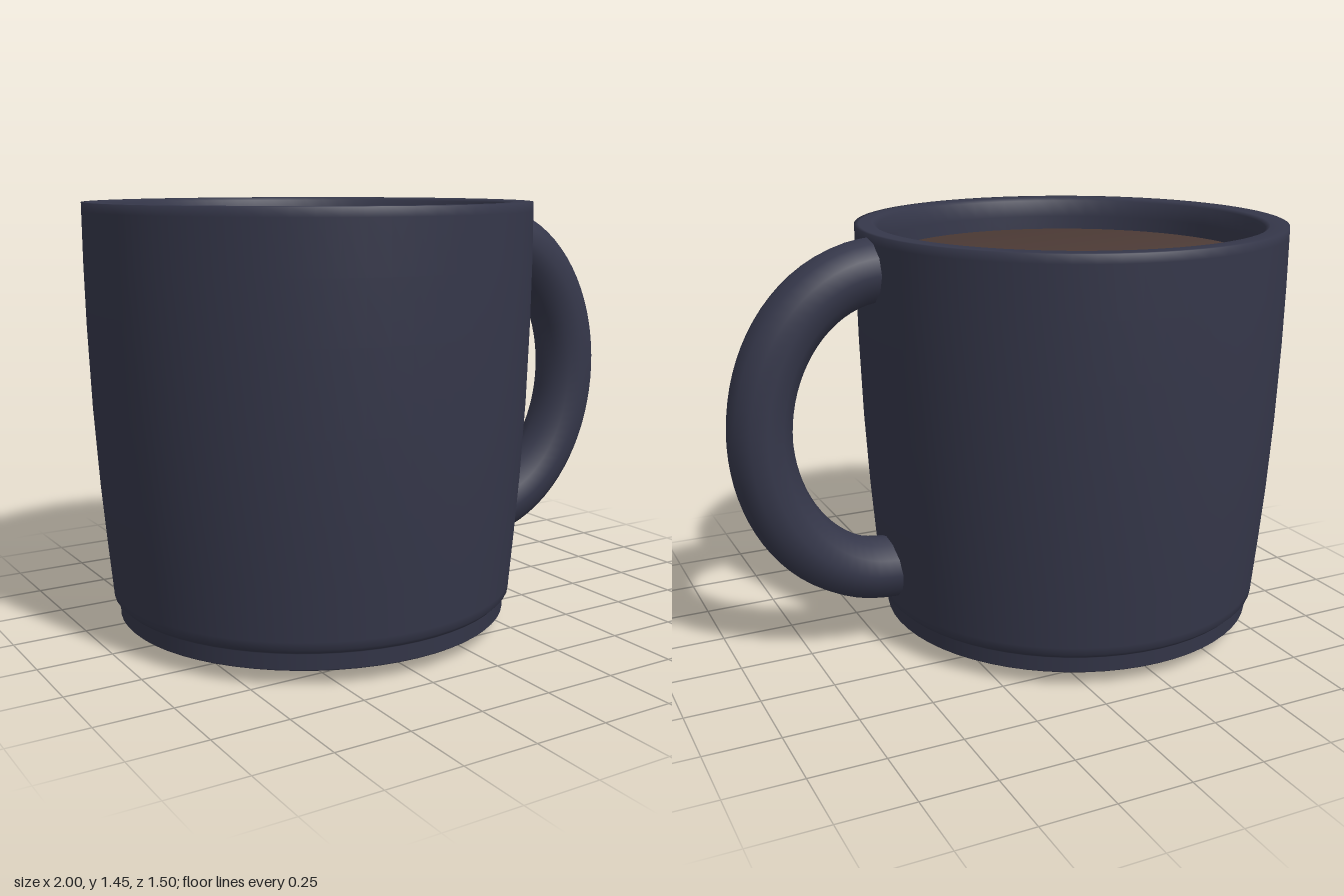
import * as THREE from 'three';

const CUP_X = -0.25;

// Smooth solid of revolution from [radius, height] pairs
function turned(name, profile, material) {
  const points = profile.map(([r, y]) => new THREE.Vector2(r, y));
  const mesh = new THREE.Mesh(new THREE.LatheGeometry(points, 64), material);
  mesh.name = name;
  mesh.position.x = CUP_X;
  return mesh;
}

export function createModel() {
  const group = new THREE.Group();
  group.name = 'mug';
  const glaze = new THREE.MeshStandardMaterial({ color: 0x35374a });
  const drink = new THREE.MeshStandardMaterial({ color: 0x4d3b36 });

  // Cup: recessed underside, stepped foot, swelling wall, flat rim, inside
  group.add(turned('cup', [
    [0, 0.04], [0.48, 0.04], [0.503, 0], [0.52, 0],
    [0.61, 0.05], [0.665, 0.05], [0.67, 0.055], [0.67, 0.105],
    [0.675, 0.11], [0.69, 0.125], [0.692, 0.15], [0.707, 0.32], [0.723, 0.52],
    [0.738, 0.78], [0.747, 1.05], [0.75, 1.25], [0.75, 1.42],
    [0.75, 1.45], [0.735, 1.45], [0.685, 1.45], [0.67, 1.44],
    [0.655, 1.38], [0.655, 1.2], [0.62, 0.2], [0.58, 0.15], [0, 0.15],
  ], glaze));

  // Drink: flat surface softly shaded into its side
  group.add(turned('drink', [[0.655, 1.2], [0.655, 1.33], [0, 1.33]], drink));

  // Handle: half-ellipse tube with both ends sunk in the wall
  const path = [new THREE.Vector3(0.43, 1.33, 0)];
  const steps = 16;
  for (let i = 0; i <= steps; i++) {
    const a = Math.PI / 2 - (Math.PI * i) / steps;
    path.push(new THREE.Vector3(0.46 + 0.43 * Math.cos(a), 0.805 + 0.525 * Math.sin(a), 0));
  }
  path.push(new THREE.Vector3(0.41, 0.28, 0));
  const curve = new THREE.CatmullRomCurve3(path);
  const handle = new THREE.Mesh(new THREE.TubeGeometry(curve, 40, 0.11, 12), glaze);
  handle.name = 'handle';
  group.add(handle);

  return group;
}
